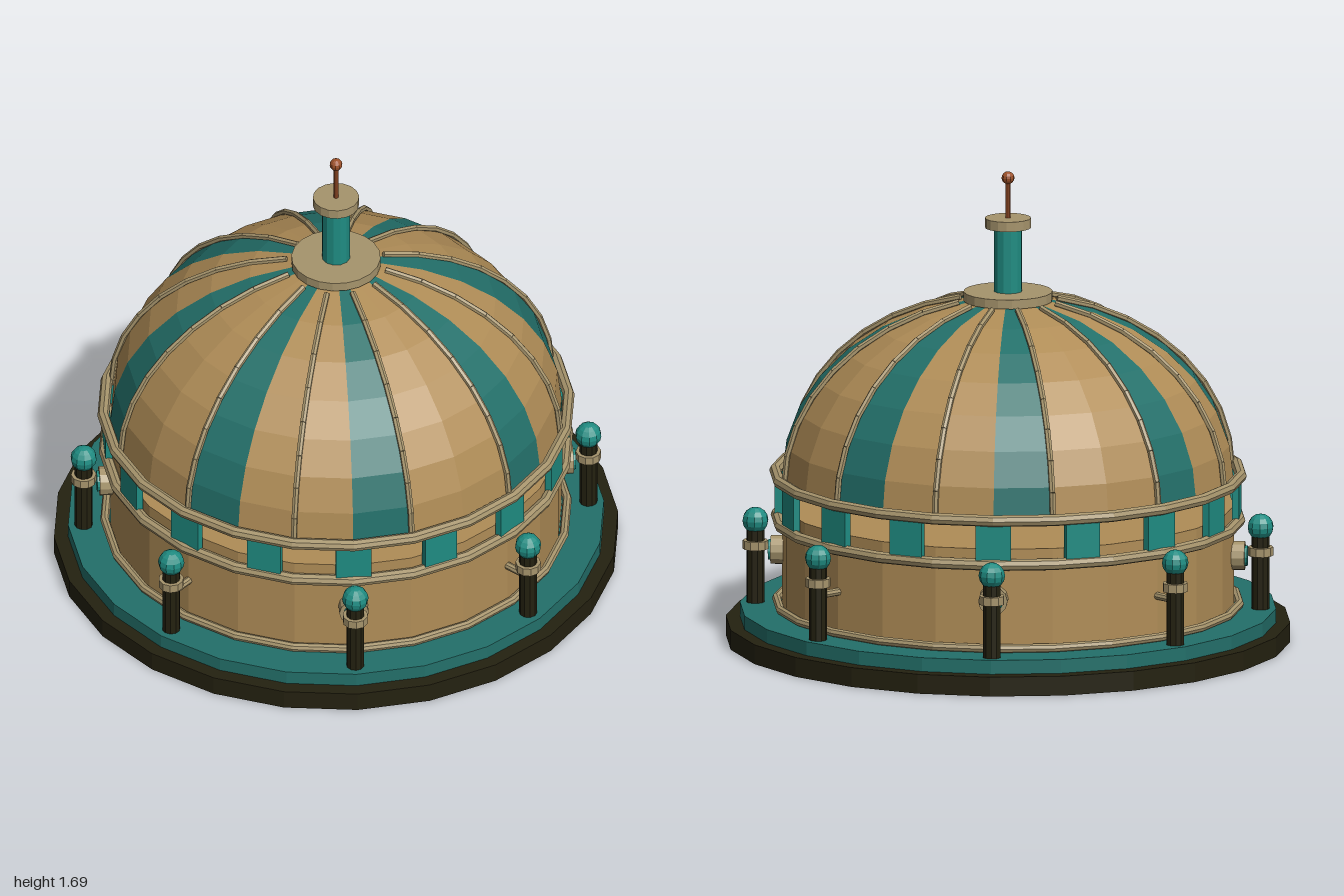
import * as THREE from 'three';

const mat = (name, color, side = THREE.FrontSide) => {
  const m = new THREE.MeshStandardMaterial({ color, flatShading: true, side });
  m.name = name;
  return m;
};

export function createModel() {
  const model = new THREE.Group();
  model.name = 'domedPavilion';

  const brass = mat('brass', 0xb08d57, THREE.DoubleSide);
  const trim = mat('paleTrim', 0xa6946c);
  const deepTeal = mat('deepTeal', 0x23706a, THREE.DoubleSide);
  const teal = mat('brightTeal', 0x1f8c82);
  const dark = mat('darkIron', 0x242110);
  const copper = mat('copper', 0x9c5028);

  const add = (parent, name, geometry, material, x = 0, y = 0, z = 0) => {
    const mesh = new THREE.Mesh(geometry, material);
    mesh.name = name;
    mesh.position.set(x, y, z);
    parent.add(mesh);
    return mesh;
  };
  // Upright cylinder given by its bottom and top heights
  const column = (parent, name, r, y0, y1, sides, material, z = 0) =>
    add(parent, name, new THREE.CylinderGeometry(r, r, y1 - y0, sides), material, 0, (y0 + y1) / 2, z);
  // Cylinder lying along z between two distances from the centre
  const radial = (parent, name, r, z0, z1, y, sides, material) => {
    const mesh = add(parent, name, new THREE.CylinderGeometry(r, r, z1 - z0, sides), material, 0, y, (z0 + z1) / 2);
    mesh.rotation.x = Math.PI / 2;
    return mesh;
  };
  // Group turned about the vertical axis; its +z points outwards
  const spoke = (name, angle) => {
    const group = new THREE.Group();
    group.name = name;
    group.rotation.y = angle;
    model.add(group);
    return group;
  };

  // Stepped base and drum
  column(model, 'basePlinth', 1, 0, 0.07, 24, dark);
  column(model, 'baseStep', 0.95, 0.07, 0.12, 24, deepTeal);
  column(model, 'drum', 0.8, 0.12, 0.49, 24, brass);

  // Mouldings around the drum and the foot of the dome
  for (const [name, r, tube, y] of [
    ['lowerMoulding', 0.82, 0.016, 0.135],
    ['drumMoulding', 0.82, 0.021, 0.437],
    ['domeMoulding', 0.825, 0.021, 0.597],
  ]) {
    add(model, name, new THREE.TorusGeometry(r, tube, 8, 24), trim, 0, y).rotation.x = Math.PI / 2;
  }

  // Open gallery of small uprights under the dome
  for (let i = 0; i < 16; i++) {
    const bay = spoke('galleryBay', (i * Math.PI) / 8);
    add(bay, 'galleryUpright', new THREE.BoxGeometry(0.125, 0.14, 0.025), teal, 0, 0.51, 0.81);
  }

  // Striped dome, one wedge per 15 degrees
  const domePoint = (t, grow = 0) =>
    new THREE.Vector2((0.8 + grow) * Math.cos(t), 0.58 + (0.65 + grow) * Math.sin(t));
  const profile = [];
  for (let i = 0; i <= 8; i++) profile.push(domePoint((i / 8) * Math.PI / 2));
  profile[8].x = 0;
  const step = Math.PI / 12;
  for (let i = 0; i < 24; i++) {
    add(model, 'domePanel', new THREE.LatheGeometry(profile, 1, i * step, step), i % 3 ? brass : deepTeal);
  }

  // Ribs made of short straight rods
  const ribPoints = [];
  for (let i = 0; i <= 8; i++) ribPoints.push(domePoint((i / 8) * Math.acos(0.22), 0.008));
  const up = new THREE.Vector3(0, 1, 0);
  for (let k = 0; k < 12; k++) {
    const rib = spoke('domeRib', (k * Math.PI) / 6);
    for (let i = 0; i < 8; i++) {
      const a = new THREE.Vector3(0, ribPoints[i].y, ribPoints[i].x);
      const b = new THREE.Vector3(0, ribPoints[i + 1].y, ribPoints[i + 1].x);
      const rod = add(rib, 'ribRod', new THREE.CylinderGeometry(0.011, 0.011, a.distanceTo(b), 6), trim);
      rod.position.copy(a).lerp(b, 0.5);
      rod.quaternion.setFromUnitVectors(up, b.sub(a).normalize());
    }
  }

  // Crown, chimney and finial
  column(model, 'crownDisc', 0.158, 1.222, 1.255, 20, trim);
  column(model, 'chimney', 0.05, 1.25, 1.49, 12, teal);
  column(model, 'chimneyCap', 0.082, 1.485, 1.52, 16, trim);
  column(model, 'finialRod', 0.009, 1.52, 1.66, 8, copper);
  add(model, 'finialBall', new THREE.SphereGeometry(0.023, 10, 8), copper, 0, 1.664);

  // Lamp posts, alternately tied to the drum or facing a porthole
  for (let i = 0; i < 8; i++) {
    const bay = spoke('lampBay', (i * Math.PI) / 4);
    column(bay, 'lampPost', 0.032, 0.12, 0.39, 10, dark, 0.895);
    column(bay, 'lampCollar', 0.045, 0.312, 0.343, 10, trim, 0.895);
    add(bay, 'lampGlobe', new THREE.SphereGeometry(0.047, 10, 8), teal, 0, 0.415, 0.895);
    if (i % 2) {
      radial(bay, 'portholeFrame', 0.052, 0.775, 0.84, 0.31, 12, trim);
      radial(bay, 'portholeGlass', 0.037, 0.83, 0.849, 0.31, 12, teal);
    } else {
      radial(bay, 'tieBar', 0.014, 0.78, 0.89, 0.28, 8, trim);
    }
  }

  return model;
}
